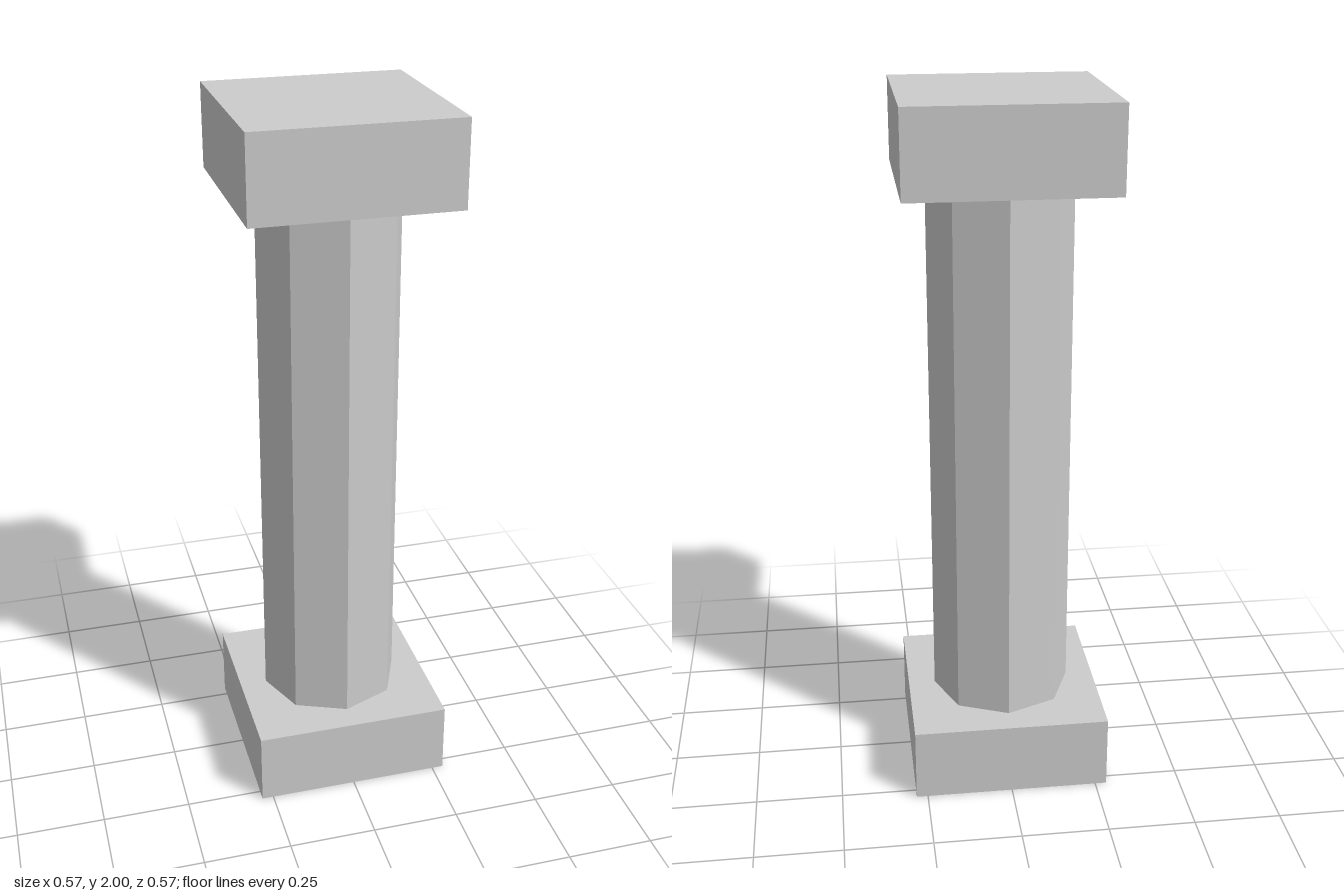
import * as THREE from 'three';

const WIDTH = 0.566;       // side of the square blocks
const BASE_TOP = 0.215;
const CAP_BOTTOM = 1.765;
const HEIGHT = 2;
const SHAFT_RADIUS = 0.204;

export function createModel() {
  const stone = new THREE.MeshStandardMaterial({ color: 0xcccccc });
  stone.name = 'grey stone';
  stone.flatShading = true;

  const column = new THREE.Group();
  column.name = 'column';

  // Places a part so that it spans from bottom to top
  const add = (name, geometry, bottom, top) => {
    const mesh = new THREE.Mesh(geometry, stone);
    mesh.name = name;
    mesh.position.y = (bottom + top) / 2;
    column.add(mesh);
  };
  const block = (name, bottom, top) =>
    add(name, new THREE.BoxGeometry(WIDTH, top - bottom, WIDTH), bottom, top);

  // Square base and capital
  block('base', 0, BASE_TOP);
  block('capital', CAP_BOTTOM, HEIGHT);

  // Eight-sided shaft with a corner facing the front
  const shaft = new THREE.CylinderGeometry(
    SHAFT_RADIUS, SHAFT_RADIUS, CAP_BOTTOM - BASE_TOP, 8, 1, true);
  add('shaft', shaft, BASE_TOP, CAP_BOTTOM);

  return column;
}
